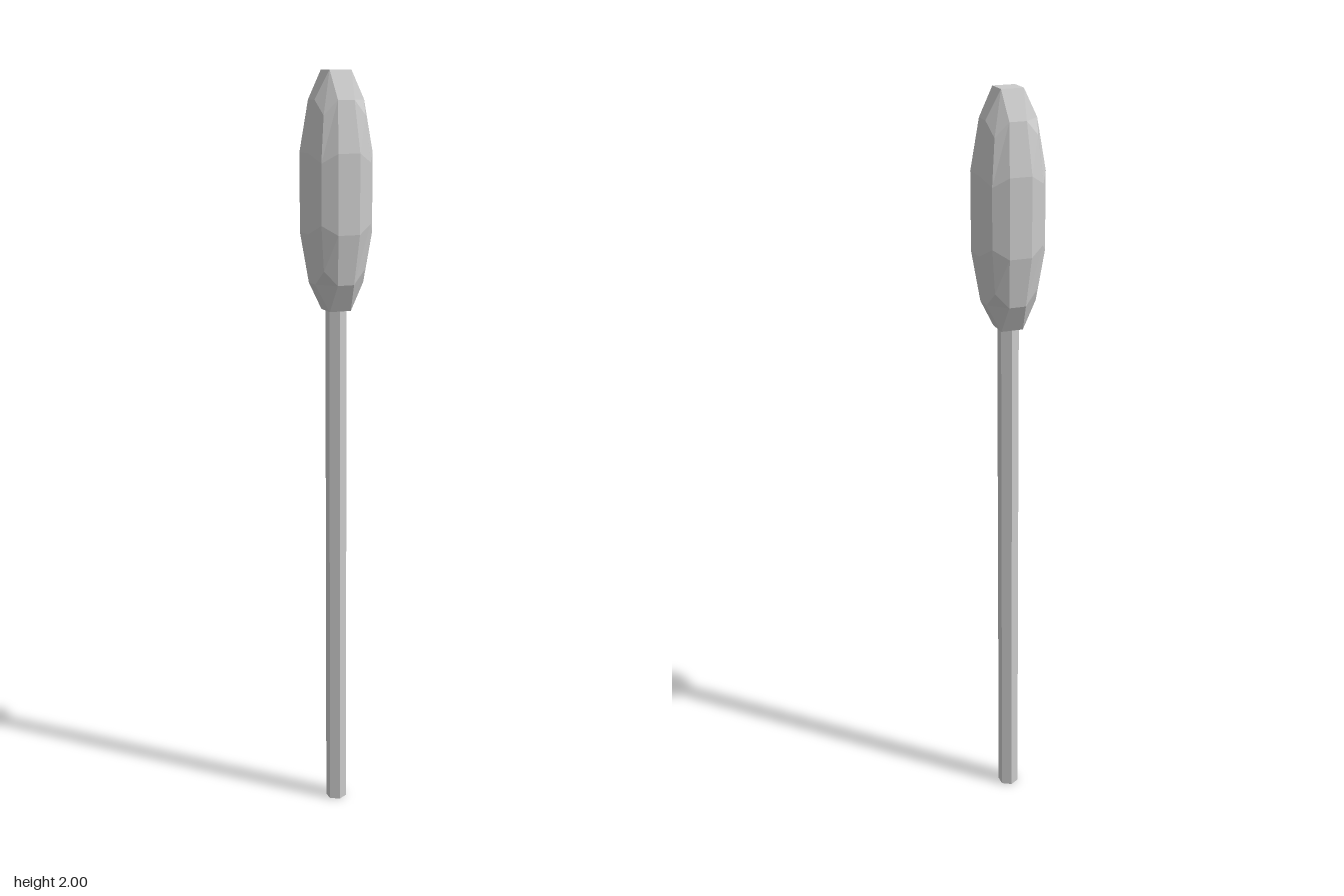
import * as THREE from 'three';

export function createModel() {
  const group = new THREE.Group();
  const material = new THREE.MeshStandardMaterial({ color: 0xcccccc, flatShading: true });

  // Hexagonal stem, corners facing front and back
  const stemHeight = 1.4;
  const stem = new THREE.Mesh(new THREE.CylinderGeometry(0.028, 0.028, stemHeight, 6), material);
  stem.name = 'stem';
  stem.position.y = stemHeight / 2;
  group.add(stem);

  // Head: a 3x3x3 box pushed out to a sphere, then stretched upward
  const radius = 0.0975, stretch = 3.435;
  const headGeometry = new THREE.BoxGeometry(2, 2, 2, 3, 3, 3);
  const position = headGeometry.attributes.position;
  const v = new THREE.Vector3();
  for (let i = 0; i < position.count; i++) {
    v.fromBufferAttribute(position, i).setLength(radius);
    position.setXYZ(i, v.x, v.y * stretch, v.z);
  }
  headGeometry.computeVertexNormals();
  const head = new THREE.Mesh(headGeometry, material);
  head.name = 'head';
  head.position.y = 1.697;
  group.add(head);

  return group;
}
